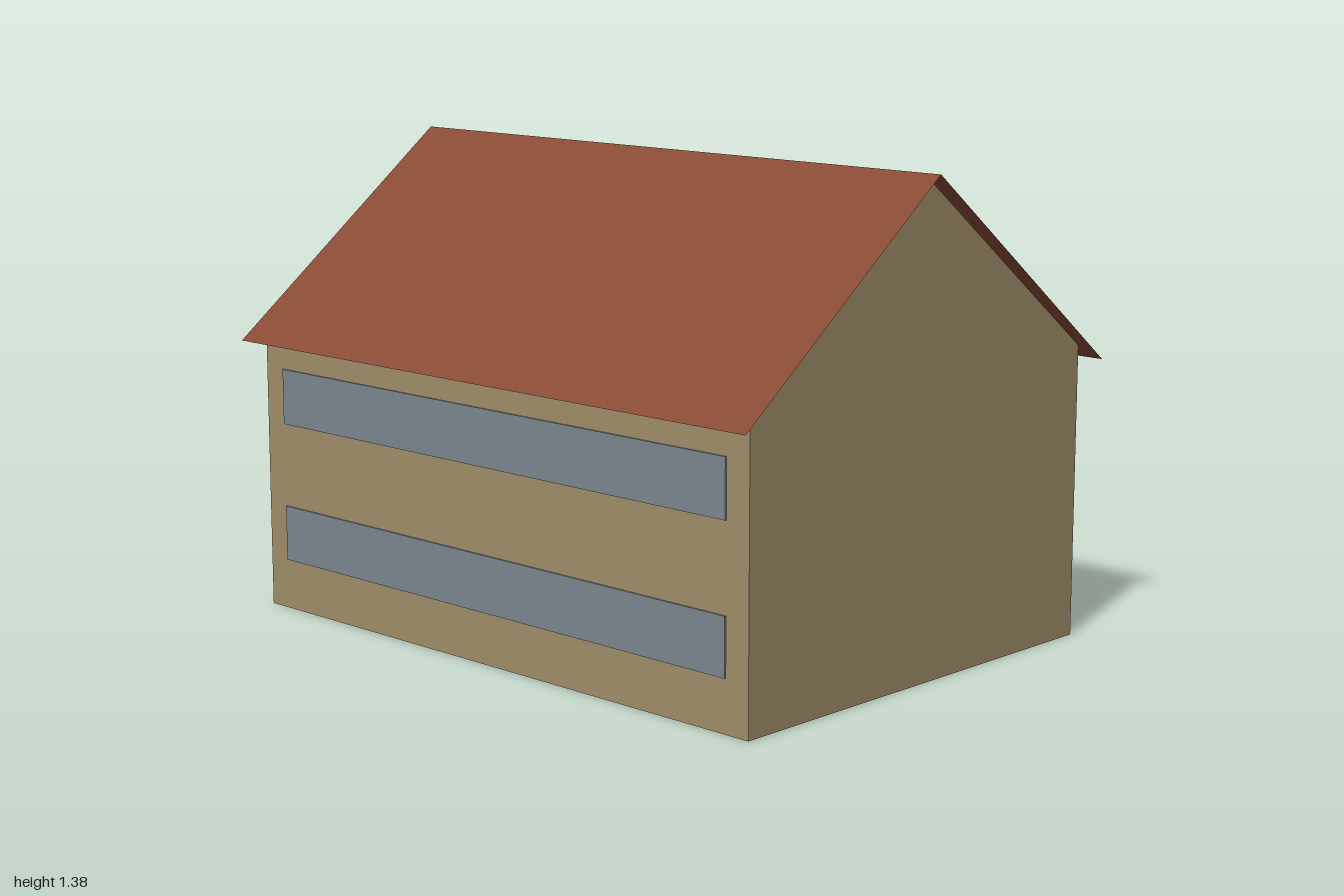
import * as THREE from 'three';

export function createModel() {
  const house = new THREE.Group();
  house.name = 'house';

  const material = (name, color, side = THREE.FrontSide) => {
    const m = new THREE.MeshStandardMaterial({ color, side });
    m.name = name;
    return m;
  };
  const wallTan = material('wallTan', 0xa08d6a);
  const roofRed = material('roofRed', 0x884a34, THREE.DoubleSide);
  const windowGrey = material('windowGrey', 0x7c858f);

  const add = (name, geometry, mat) => {
    const mesh = new THREE.Mesh(geometry, mat);
    mesh.name = name;
    house.add(mesh);
    return mesh;
  };

  // Walls with gable ends: pentagon profile extruded along x
  const halfWidth = 0.96, halfDepth = 0.687;
  const profile = new THREE.Shape([
    [-halfDepth, 0], [halfDepth, 0], [halfDepth, 0.843], [0, 1.367], [-halfDepth, 0.843],
  ].map(([x, y]) => new THREE.Vector2(x, y)));
  const wallGeometry = new THREE.ExtrudeGeometry(profile, { depth: halfWidth * 2, bevelEnabled: false });
  wallGeometry.translate(0, 0, -halfWidth).rotateY(Math.PI / 2);
  add('walls', wallGeometry, wallTan);

  // Two thin roof slopes, overhanging eaves and gables
  const ridgeY = 1.38, eaveY = 0.8, eaveZ = 0.747;
  const slopeLength = Math.hypot(ridgeY - eaveY, eaveZ);
  const tilt = Math.atan2(eaveZ, ridgeY - eaveY);
  for (const side of [1, -1]) {
    const slope = new THREE.PlaneGeometry(2, slopeLength);
    slope.rotateX(-tilt).translate(0, (ridgeY + eaveY) / 2, eaveZ / 2);
    if (side < 0) slope.rotateY(Math.PI);
    add(side > 0 ? 'frontRoof' : 'backRoof', slope, roofRed);

    // Window bands, two storeys on each long wall
    [0.23, 0.64].forEach((y, floor) => {
      const band = add(`${side > 0 ? 'front' : 'back'}WindowBand${floor + 1}`,
        new THREE.BoxGeometry(1.764, 0.163, 0.008), windowGrey);
      band.position.set(0, y, side * (halfDepth + 0.001));
    });
  }

  return house;
}
